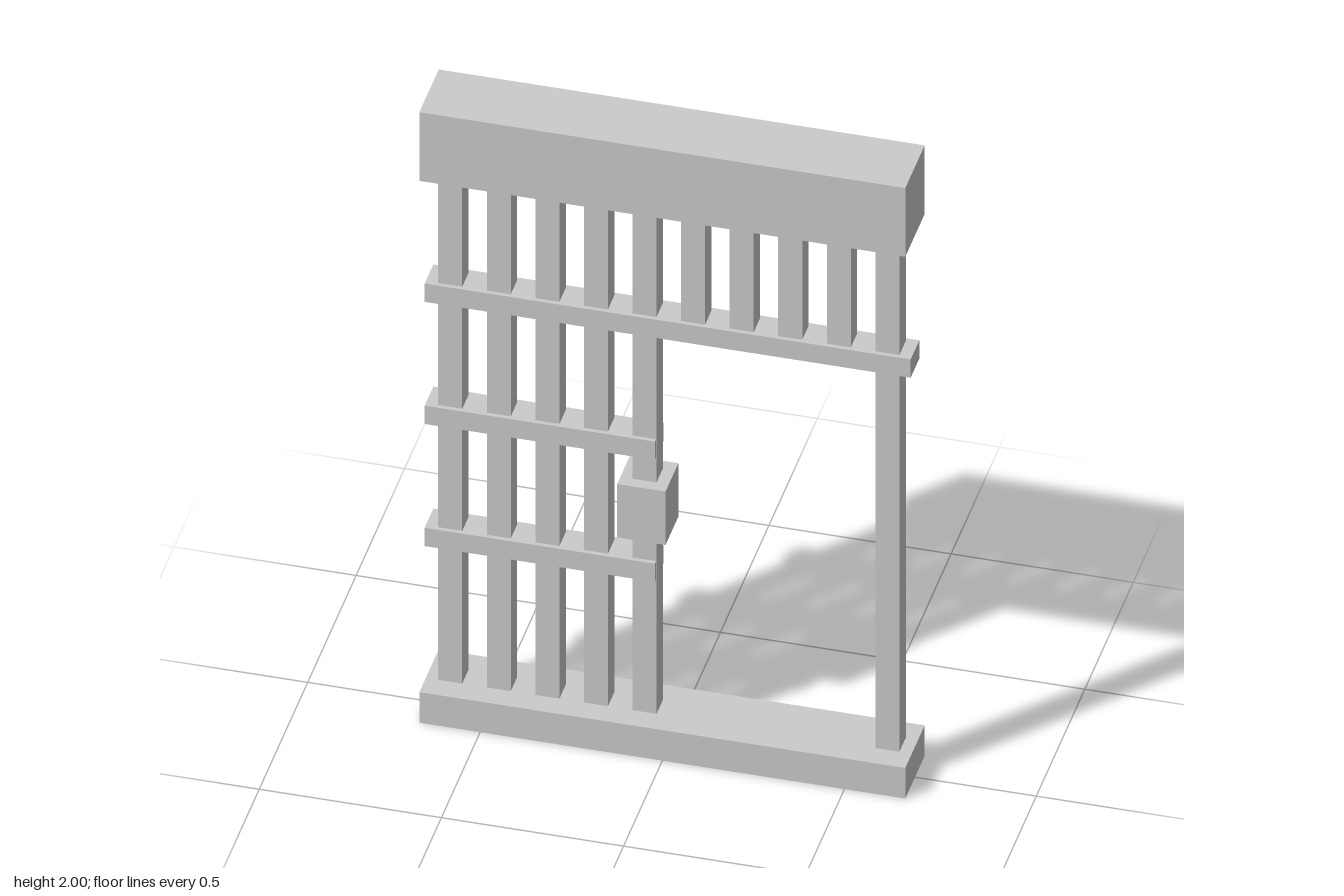
import * as THREE from 'three';

export function createModel() {
  const model = new THREE.Group();
  model.name = 'barredGate';
  const material = new THREE.MeshStandardMaterial({ color: 0xcccccc, flatShading: true });

  // Box given by its x and y extents and its depth, centred on z = 0
  function block(name, x0, x1, y0, y1, depth) {
    const mesh = new THREE.Mesh(new THREE.BoxGeometry(x1 - x0, y1 - y0, depth), material);
    mesh.position.set((x0 + x1) / 2, (y0 + y1) / 2, 0);
    mesh.name = name;
    model.add(mesh);
  }

  const half = 0.667;
  const bar = 0.066;

  // Sill and lintel
  block('sill', -half, half, 0, 0.1, 0.2);
  block('lintel', -half, half, 1.775, 2, 0.2);

  // Ten evenly spaced bars; those above the doorway stop at the upper rail
  for (let i = 0; i < 10; i++) {
    const x = -0.6 + (i * 1.2) / 9;
    const overDoorway = i > 4 && i < 9;
    block(overDoorway ? 'shortBar' : 'longBar', x - bar / 2, x + bar / 2, overDoorway ? 1.4 : 0.1, 1.775, bar);
  }

  // Cross rails: one full width, two beside the doorway
  block('upperRail', -half, half, 1.34, 1.4, 0.09);
  block('middleRail', -half, -0.035, 0.94, 1, 0.09);
  block('lowerRail', -half, -0.035, 0.54, 0.6, 0.09);

  // Lock box around the bar at the doorway
  block('lockBox', -0.133, 0, 0.683, 0.858, 0.133);

  return model;
}
